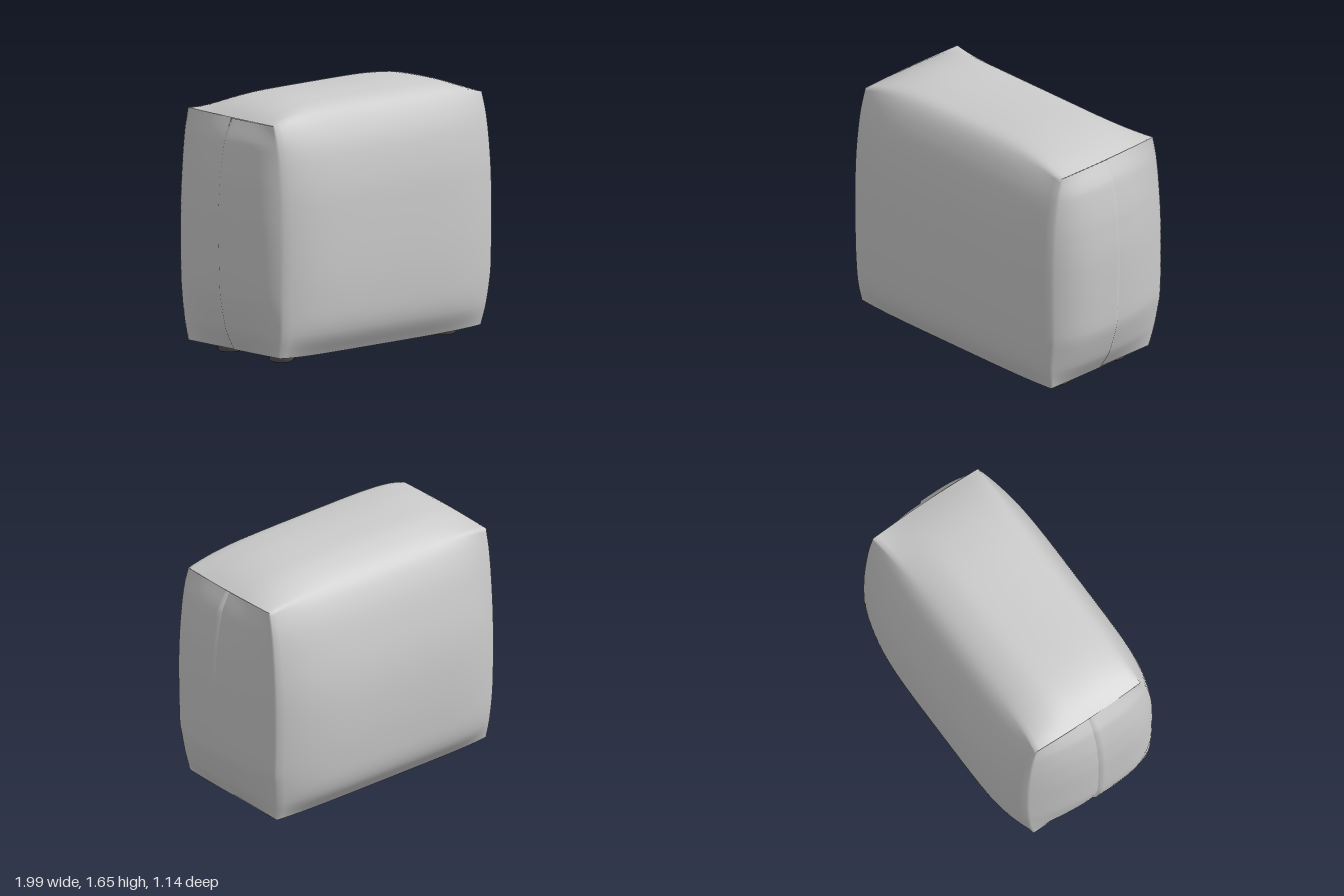
import * as THREE from 'three';
import { mergeGeometries, mergeVertices } from 'three/addons/utils/BufferGeometryUtils.js';

const material = new THREE.MeshStandardMaterial({ color: 0xcccccc, side: THREE.DoubleSide });
const footMaterial = new THREE.MeshStandardMaterial({ color: 0x555555 });

// Smooth curve through [z, y] points, sampled by point index
const curve = (pts) => new THREE.CatmullRomCurve3(
  pts.map(([z, y]) => new THREE.Vector3(0, y, z)), false, 'centripetal');

// Cover profile at the middle: front hem -> over the top -> back hem
const middle = curve([
  [0.44, 0.05], [0.53, 0.2], [0.565, 0.45], [0.57, 0.9], [0.555, 1.17], [0.5, 1.42], [0.39, 1.595],
  [0.24, 1.635], [-0.02, 1.645], [-0.2, 1.625], [-0.36, 1.54],
  [-0.45, 1.4], [-0.52, 1.17], [-0.565, 0.88], [-0.56, 0.45], [-0.52, 0.2], [-0.41, 0.05]]);
// Vertical corner edges: front from the hem up, back from the top down
const frontEdge = curve([
  [0.44, 0.065], [0.47, 0.2], [0.485, 0.45], [0.49, 0.9], [0.475, 1.17], [0.44, 1.4], [0.4, 1.53]]);
const backEdge = curve([
  [-0.4, 1.54], [-0.43, 1.4], [-0.455, 1.17], [-0.47, 0.9], [-0.465, 0.45], [-0.44, 0.2], [-0.41, 0.065]]);
// How far the side panels swell at the seam, bottom to top (stored in z)
const swell = curve([
  [0.005, 0], [0.07, 0], [0.115, 0], [0.127, 0], [0.112, 0], [0.072, 0], [0.005, 0]]);

const CORNER = 6 / 16; // share of the profile from the hem to the top corner

// Half width at the corner edges, drawn in near the hem (more so on the left)
const endX = (side, y) => 0.87 - (side > 0 ? 0.045 : 0.01) * Math.max(0, 1 - (y - 0.065) / 0.35);

// Cover profile at the ends, with a straight flap edge between the corners
function endPoint(v) {
  if (v <= CORNER) return frontEdge.getPoint(v / CORNER);
  if (v >= 1 - CORNER) return backEdge.getPoint((v - 1 + CORNER) / CORNER);
  return frontEdge.getPoint(1).lerp(backEdge.getPoint(0), (v - CORNER) / (1 - 2 * CORNER));
}

// Surface from a rule fn(u, v) -> [x, y, z]
function sheet(fn, nu, nv, flip = false) {
  const pos = [], index = [];
  for (let j = 0; j <= nv; j++) {
    for (let i = 0; i <= nu; i++) pos.push(...fn(i / nu, j / nv));
  }
  for (let j = 0; j < nv; j++) {
    for (let i = 0; i < nu; i++) {
      const a = j * (nu + 1) + i, b = a + 1, c = a + nu + 1, d = c + 1;
      if (flip) index.push(a, d, b, a, c, d);
      else index.push(a, b, d, a, d, c);
    }
  }
  const geo = new THREE.BufferGeometry();
  geo.setAttribute('position', new THREE.Float32BufferAttribute(pos, 3));
  geo.setIndex(index);
  return geo;
}

// Front, top and back in one piece; the top flap overhangs the sides a little
function wrapPoint(u, v) {
  const s = u * 2 - 1;
  const e = endPoint(v);
  const overhang = v > CORNER && v < 1 - CORNER
    ? 0.01 * Math.sin(Math.PI * (v - CORNER) / (1 - 2 * CORNER)) : 0;
  const x = s * (endX(s, e.y) + overhang);
  const p = e.lerp(middle.getPoint(v), 1 - Math.pow(Math.abs(s), s < 0 ? 5.5 : 4));
  return [x, p.y, p.z];
}

// Half of one padded side, from the corner edge (u = 0) to the centre seam (u = 1)
function sidePanel(side, front) {
  const power = front ? 4 : 1.8;
  const fn = (u, v) => {
    const e = endPoint(front ? v * CORNER : 1 - v * CORNER);
    let x = endX(side, e.y) + swell.getPoint(v).z * (1 - Math.pow(1 - u, power));
    let z = e.z * (1 - u);
    // the front half laps over the back half and turns in at its edge
    if (!front) x -= 0.012 * u;
    else if (u === 1) { x -= 0.014; z = -0.004; }
    return [side * x, e.y, z];
  };
  return sheet(fn, 24, 36, (side > 0) !== front);
}

// Whole cover, welded so that the corner edges shade softly
function cover() {
  const parts = [sheet(wrapPoint, 40, 96)];
  for (const side of [1, -1]) parts.push(sidePanel(side, true), sidePanel(side, false));
  const geo = mergeVertices(mergeGeometries(parts), 1e-4);
  geo.computeVertexNormals();
  const mesh = new THREE.Mesh(geo, material);
  mesh.name = 'cover';
  return mesh;
}

// Narrow hem turned in around the open bottom
function hem() {
  const rect = (path, x0, x1, z0, z1) =>
    path.moveTo(x0, z0).lineTo(x1, z0).lineTo(x1, z1).lineTo(x0, z1).closePath();
  const shape = rect(new THREE.Shape(), -0.86, 0.825, -0.41, 0.44);
  shape.holes.push(rect(new THREE.Path(), -0.84, 0.805, -0.39, 0.42));
  const geo = new THREE.ShapeGeometry(shape);
  geo.rotateX(Math.PI / 2);
  const mesh = new THREE.Mesh(geo, material);
  mesh.position.y = 0.065;
  mesh.name = 'hem';
  return mesh;
}

export function createModel() {
  const model = new THREE.Group();
  model.name = 'coveredAppliance';
  model.add(cover(), hem());

  // Base plate recessed inside the cover
  const base = new THREE.Mesh(new THREE.BoxGeometry(1.52, 0.03, 0.68), material);
  base.position.y = 0.165;
  base.name = 'basePlate';
  model.add(base);

  // Four knobbly feet
  const footProfile = [[0, 0], [0.065, 0], [0.08, 0.012], [0.078, 0.03], [0.086, 0.045],
    [0.074, 0.065], [0.08, 0.09], [0.065, 0.12], [0.06, 0.155]].map(([r, y]) => new THREE.Vector2(r, y));
  const footGeometry = new THREE.LatheGeometry(footProfile, 10);
  for (const x of [-0.675, 0.69]) {
    for (const z of [-0.23, 0.245]) {
      const foot = new THREE.Mesh(footGeometry, footMaterial);
      foot.position.set(x, 0, z);
      foot.name = 'foot';
      model.add(foot);
    }
  }
  return model;
}
